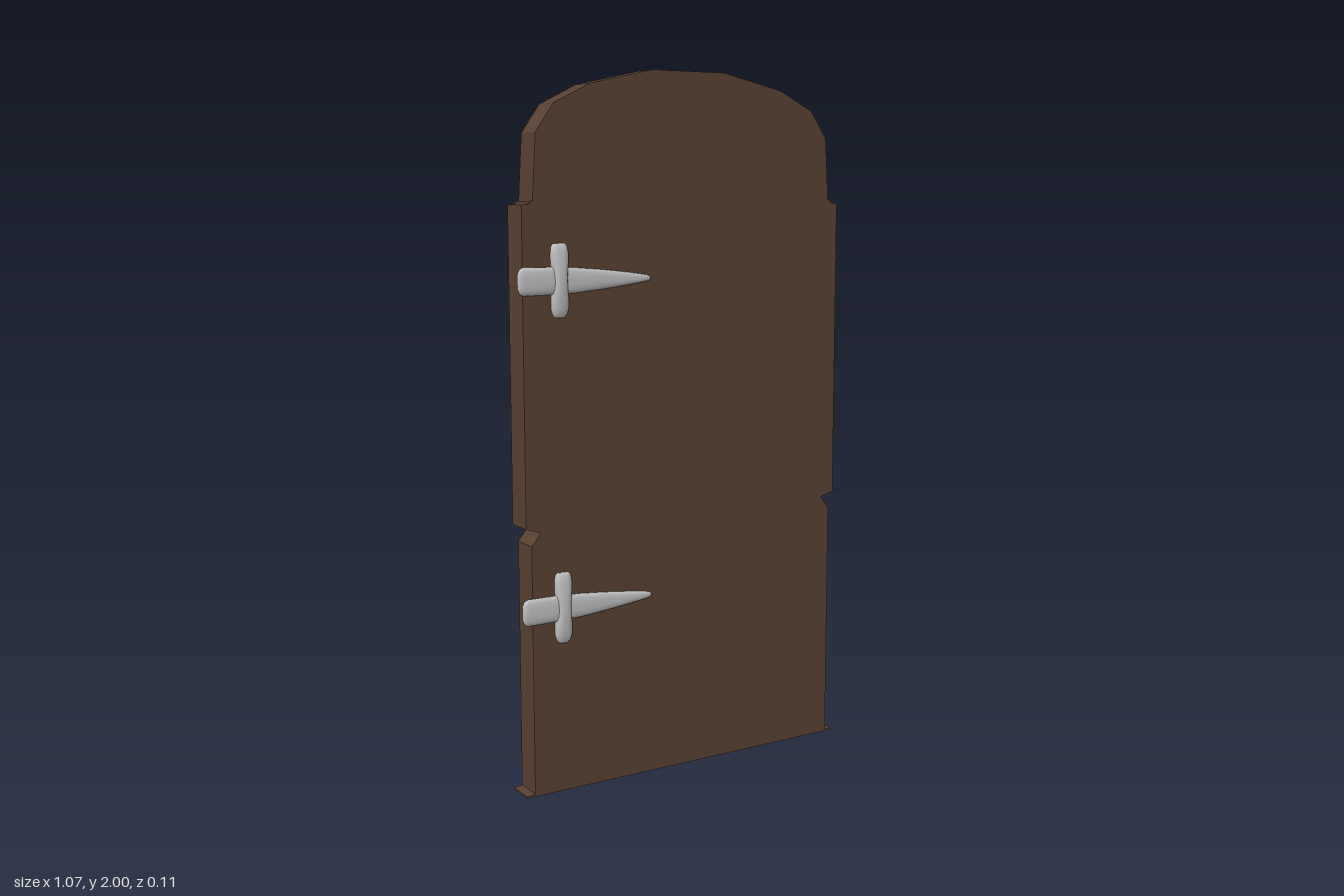
import * as THREE from 'three';

const wood = new THREE.MeshStandardMaterial({ color: 0x5a4132 });
wood.name = 'dark wood';
const iron = new THREE.MeshStandardMaterial({ color: 0xc0c0c0 });
iron.name = 'pale iron';

// Smooth bar along x from stations [x, half height, half depth] with rounded cross-sections
function bar(stations, z, sides = 14) {
  const pos = [], index = [];
  const rounded = (v) => Math.sign(v) * Math.abs(v) ** 0.8;
  stations.forEach(([x, hy, hz], i) => {
    for (let j = 0; j < sides; j++) {
      const a = (j / sides) * Math.PI * 2;
      pos.push(x, rounded(Math.cos(a)) * hy, z + rounded(Math.sin(a)) * hz);
      if (i === stations.length - 1) continue;
      const p = i * sides + j, q = i * sides + ((j + 1) % sides);
      index.push(p, q, p + sides, q, q + sides, p + sides);
    }
  });
  const g = new THREE.BufferGeometry();
  g.setAttribute('position', new THREE.Float32BufferAttribute(pos, 3));
  g.setIndex(index);
  g.computeVertexNormals();
  return g;
}

function part(name, geometry, material) {
  const mesh = new THREE.Mesh(geometry, material);
  mesh.name = name;
  return mesh;
}

// Door leaf: one half of the outline, mirrored about its middle
function makeLeaf() {
  const middle = 0.0025, back = -0.053, front = 0.03;
  const half = [
    [0.53, 0], [0.53, 0.004], [0.505, 0.007], [0.505, 0.714], [0.477, 0.749], [0.521, 0.763],
    [0.521, 1.636], [0.498, 1.638], [0.498, 1.646], [0.488, 1.646], [0.477, 1.825],
    [0.423, 1.902], [0.312, 1.957], [0.118, 2],
  ];
  const mirrored = half.map(([x, y]) => [-x, y]).reverse();
  const outline = [...half, ...mirrored].map(([x, y]) => new THREE.Vector2(x + middle, y));
  const g = new THREE.ExtrudeGeometry(new THREE.Shape(outline), { depth: front - back, bevelEnabled: false });
  g.translate(0, 0, back);
  return part('doorLeaf', g, wood);
}

// Hinge: long tapering strap with a thicker crossbar
function makeHinge(name) {
  const hinge = new THREE.Group();
  hinge.name = name;
  const strap = bar([
    [-0.534, 0, 0], [-0.534, 0.022, 0.004], [-0.529, 0.033, 0.008], [-0.518, 0.038, 0.01],
    [-0.44, 0.037, 0.01], [-0.36, 0.034, 0.01], [-0.28, 0.027, 0.01], [-0.2, 0.018, 0.01],
    [-0.15, 0.011, 0.009], [-0.134, 0.008, 0.007], [-0.127, 0.004, 0.003], [-0.127, 0, 0],
  ], 0.034);
  const cross = bar([
    [-0.1, 0, 0], [-0.1, 0.013, 0.008], [-0.092, 0.021, 0.013], [-0.075, 0.026, 0.017],
    [-0.05, 0.026, 0.02], [-0.025, 0.023, 0.022], [0, 0.022, 0.023], [0.025, 0.023, 0.022],
    [0.05, 0.026, 0.02], [0.075, 0.026, 0.017], [0.092, 0.024, 0.013], [0.1, 0.018, 0.008], [0.1, 0, 0],
  ], 0.03);
  cross.rotateZ(Math.PI / 2);
  cross.translate(-0.409, 0, 0);
  hinge.add(part('hingeStrap', strap, iron), part('hingeCrossbar', cross, iron));
  return hinge;
}

export function createModel() {
  const door = new THREE.Group();
  door.name = 'door';
  door.add(makeLeaf());
  for (const [name, y] of [['upperHinge', 1.434], ['lowerHinge', 0.531]]) {
    const hinge = makeHinge(name);
    hinge.position.y = y;
    door.add(hinge);
  }
  return door;
}
